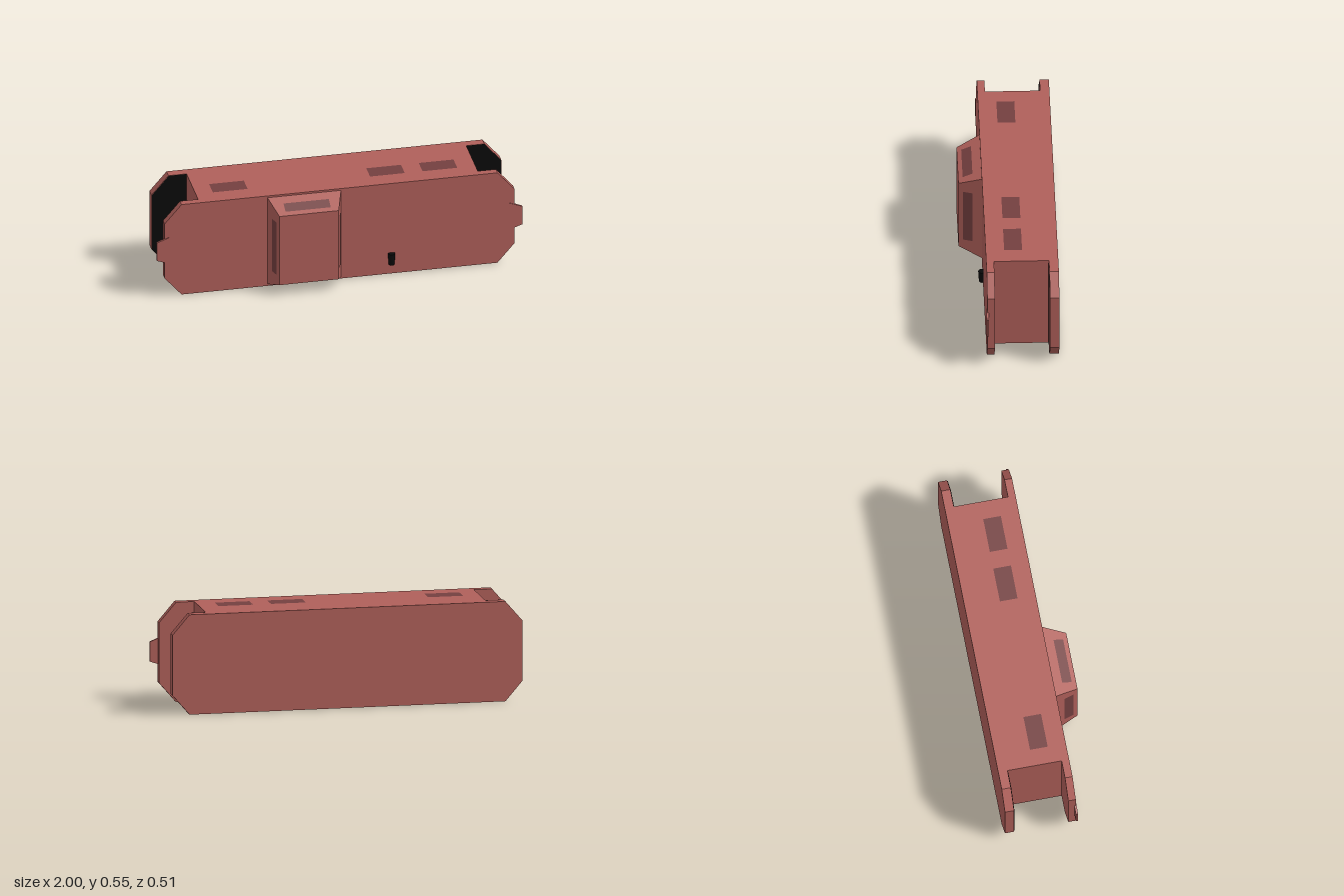
import * as THREE from 'three';

const red = new THREE.MeshStandardMaterial({ color: 0xb0605a });
const glass = new THREE.MeshStandardMaterial({ color: 0x744040, side: THREE.DoubleSide });
const black = new THREE.MeshStandardMaterial({ color: 0x0a0a0a, side: THREE.DoubleSide });
const H = 0.545, MID = H / 2;

function add(parent, name, geometry, material = red) {
  const mesh = new THREE.Mesh(geometry, material);
  mesh.name = name;
  parent.add(mesh);
  return mesh;
}

// Rectangle with cut corners, standing on y = 0
function plateShape(w, cx, cy) {
  return new THREE.Shape([
    [-w + cx, 0], [w - cx, 0], [w, cy], [w, H - cy],
    [w - cx, H], [-w + cx, H], [-w, H - cy], [-w, cy],
  ].map(([x, y]) => new THREE.Vector2(x, y)));
}

function plate(z0, z1) {
  const g = new THREE.ExtrudeGeometry(plateShape(0.957, 0.093, 0.108), { depth: z1 - z0, bevelEnabled: false });
  return g.translate(0, 0, z0);
}

// Box whose front face shrinks to half-sizes fx, fy
function taperedBox(hx, hy, fx, fy, z0, z1) {
  const g = new THREE.BoxGeometry(2, 2, 1);
  const p = g.attributes.position;
  for (let i = 0; i < p.count; i++) {
    const front = p.getZ(i) > 0;
    p.setXYZ(i, p.getX(i) * (front ? fx : hx), p.getY(i) * (front ? fy : hy), front ? z1 : z0);
  }
  g.computeVertexNormals();
  return g;
}

export function createModel() {
  const model = new THREE.Group();
  model.name = 'body';

  // Core between two wider plates
  const core = add(model, 'core', new THREE.BoxGeometry(1.53, H, 0.3));
  core.position.set(0, MID, -0.057);
  add(model, 'backPlate', plate(-0.255, -0.205));
  add(model, 'frontPlate', plate(0.09, 0.131));

  // Dark lining on the inner face of the back plate
  const lining = add(model, 'backPlateLining', new THREE.ShapeGeometry(plateShape(0.955, 0.093, 0.108)), black);
  lining.position.z = -0.203;

  // Small end tabs, level with the front face
  for (const side of [-1, 1]) {
    const tab = new THREE.Shape();
    tab.moveTo(0.93, 0.195);
    tab.lineTo(0.965, 0.208);
    tab.lineTo(1, 0.22);
    tab.lineTo(1, 0.328);
    tab.lineTo(0.965, 0.342);
    tab.lineTo(0.93, 0.355);
    const g = new THREE.ExtrudeGeometry(tab, { depth: 0.012, bevelEnabled: false });
    g.translate(0, 0, 0.123);
    const mesh = add(model, side > 0 ? 'leftTab' : 'rightTab', g);
    if (side < 0) {
      mesh.rotation.y = Math.PI;
      mesh.position.z = 0.258;
    }
  }

  // Windows along the roof and the underside
  for (const x of [-0.577, 0.283, 0.57]) {
    for (const y of [-0.001, H + 0.001]) {
      const pane = add(model, y > 0 ? 'roofWindow' : 'floorWindow', new THREE.PlaneGeometry(0.19, 0.096), glass);
      pane.rotation.x = y > 0 ? -Math.PI / 2 : Math.PI / 2;
      pane.position.set(x, y, -0.016);
    }
  }

  // Tapered front bay with a window in each sloping side
  const bay = new THREE.Group();
  bay.name = 'frontBay';
  bay.position.set(-0.193, MID, 0);
  model.add(bay);
  const z0 = 0.128, z1 = 0.255, hx = 0.202, hy = 0.263, fx = 0.162, fy = 0.208;
  add(bay, 'bayShell', taperedBox(hx, hy, fx, fy, z0, z1));
  const zMid = 0.205, t = (zMid - z0) / (z1 - z0);
  const slopeX = Math.atan2(hx - fx, z1 - z0), slopeY = Math.atan2(hy - fy, z1 - z0);
  for (const s of [-1, 1]) {
    const sidePane = add(bay, 'baySideWindow', new THREE.PlaneGeometry(0.053, 0.317), glass);
    sidePane.rotation.y = s * (Math.PI / 2 - slopeX);
    sidePane.position.set(s * (hx + (fx - hx) * t + 0.002), 0, zMid);
    const endPane = add(bay, 'bayEndWindow', new THREE.PlaneGeometry(0.247, 0.057), glass);
    endPane.rotation.x = -s * (Math.PI / 2 - slopeY);
    endPane.position.set(0, s * (hy + (fy - hy) * t + 0.002), zMid);
  }

  // Small dark handle on the front
  const handle = add(model, 'handle', new THREE.CylinderGeometry(0.02, 0.016, 0.066, 12), black);
  handle.position.set(0.283, 0.093, 0.139);

  return model;
}
